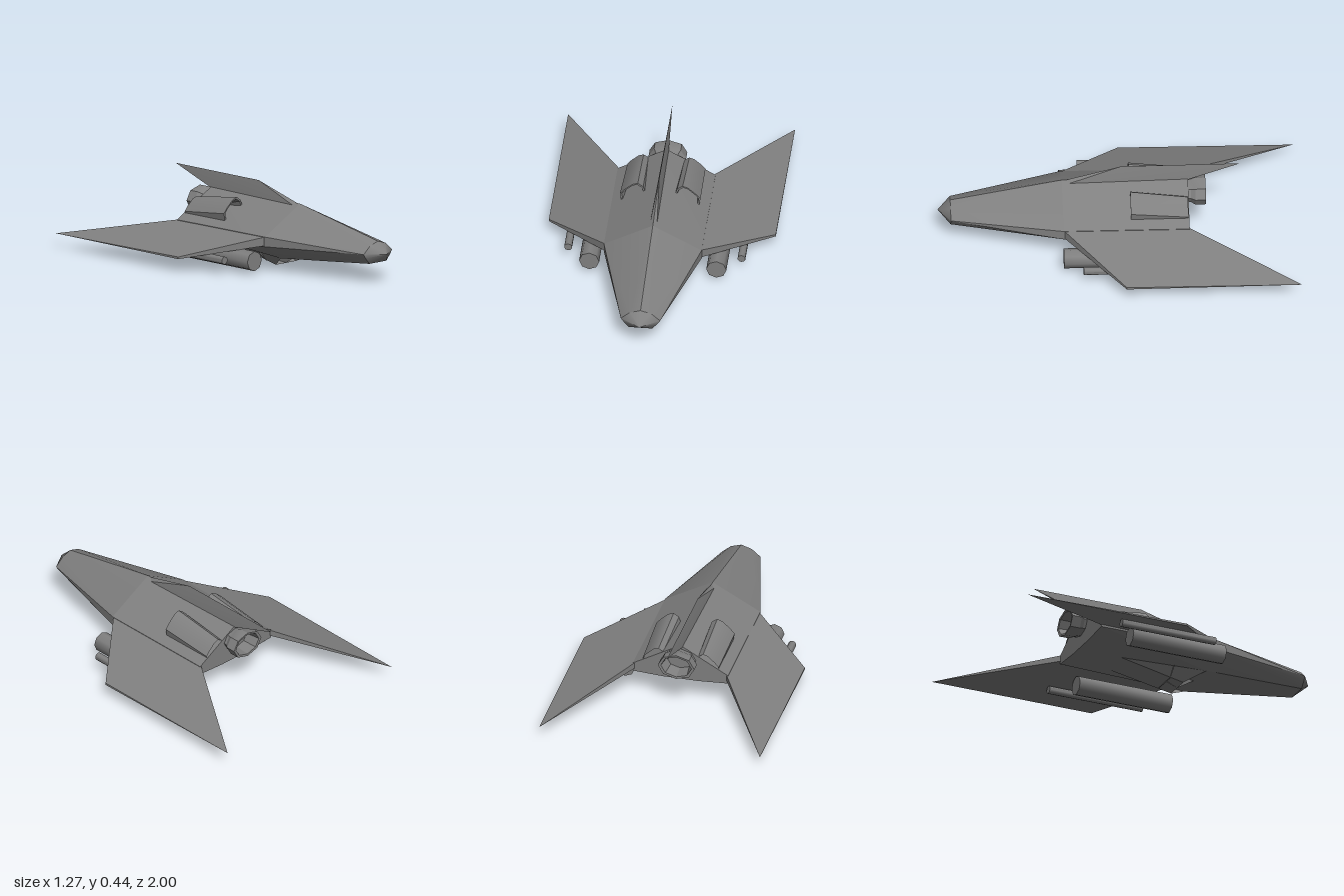
import * as THREE from 'three';
import { ConvexGeometry } from 'three/addons/geometries/ConvexGeometry.js';
import { toCreasedNormals } from 'three/addons/utils/BufferGeometryUtils.js';

const solidMat = new THREE.MeshStandardMaterial({ color: 0x808080 });
const shellMat = new THREE.MeshStandardMaterial({ color: 0x808080, side: THREE.DoubleSide });

export function createModel() {
  const model = new THREE.Group();
  const craft = new THREE.Group();
  craft.name = 'craft';
  craft.position.x = -0.018; // the two wings differ a little in span
  model.add(craft);

  function add(name, geometry, material = solidMat) {
    const mesh = new THREE.Mesh(geometry, material);
    mesh.name = name;
    craft.add(mesh);
    return mesh;
  }

  // Convex solid through corner points, smooth below the crease angle
  const solid = (name, pts, crease = 0.45) => add(name,
    toCreasedNormals(new ConvexGeometry(pts.map(p => new THREE.Vector3(...p))), crease));

  // Half section [x, y] at depth z, mirrored to both sides
  const section = (z, half) => half.flatMap(([x, y]) => (x ? [[x, y, z], [-x, y, z]] : [[x, y, z]]));

  // Open skin between rows of points
  function skin(name, rows) {
    const n = rows[0].length, idx = [];
    for (let i = 0; i < rows.length - 1; i++) {
      for (let j = 0; j < n - 1; j++) {
        const a = i * n + j, b = a + 1, c = a + n, d = b + n;
        idx.push(a, c, b, b, c, d);
      }
    }
    const g = new THREE.BufferGeometry();
    g.setAttribute('position', new THREE.Float32BufferAttribute(rows.flat(2), 3));
    g.setIndex(idx);
    return add(name, toCreasedNormals(g, 0.6), shellMat);
  }

  // Fuselage: nose, forward hull, rear hull with an upswept underside
  const nose = section(0.93, [[0, 0.235], [0.06, 0.216], [0.11, 0.173], [0.095, 0.15], [0.065, 0.115]]);
  const middle = section(0.31, [[0, 0.355], [0.273, 0.205], [0.273, 0.15], [0.15, 0.067]]);
  const belly = section(-0.18, [[0, 0.355], [0.273, 0.202], [0.273, 0.15], [0.1, 0.085]]);
  const tail = section(-0.39, [[0, 0.355], [0.273, 0.2], [0.273, 0.15], [0.1, 0.14]]);
  solid('noseTip', [...nose, [0, 0.17, 1]], 0.9);
  solid('forwardHull', [...nose, ...middle]);
  solid('rearHull', [...middle, ...belly, ...tail], 0.2);

  // Belly intake: raked open mouth tapering back into the hull
  skin('bellyIntake', [
    [[0.15, 0.067, 0.31], [0.08, 0.004, 0.2], [-0.08, 0.004, 0.2], [-0.15, 0.067, 0.31]],
    [[0.1, 0.087, -0.18], [0.08, 0.083, -0.18], [-0.08, 0.083, -0.18], [-0.1, 0.087, -0.18]],
  ]);
  skin('intakeBackWall', [
    [[0.135, 0.072, 0.12], [-0.135, 0.072, 0.12]],
    [[0.078, 0.016, 0.12], [-0.078, 0.016, 0.12]],
  ]);
  solid('intakeDivider', [
    [0, 0.067, 0.3], [0, 0.004, 0.2],
    ...section(0.12, [[0.025, 0.07], [0.025, 0.018]]),
  ]);

  // Dorsal fin with a sharp top edge
  solid('fin', [
    ...section(0.28, [[0.02, 0.34]]), ...section(-0.39, [[0.012, 0.345]]),
    [0, 0.357, 0.28], [0, 0.44, -0.02], [0, 0.44, -0.68],
  ]);

  for (const s of [1, -1]) {
    const side = s > 0 ? 'left' : 'right';
    const tip = s > 0 ? 0.65 : 0.617;

    // Drooped, swept wing
    solid(side + 'Wing', [
      [0.265, 0.205, 0.31], [0.265, 0.155, 0.31],
      [0.265, 0.2, -0.39], [0.265, 0.165, -0.39],
      [tip, 0.092, -0.025], [tip, 0.08, -0.025], [tip, 0.082, -1],
    ].map(([x, y, z]) => [s * x, y, z]), 0.3);

    // Arched air scoop on the sloping back, sinking towards the tail
    const arch = [[0.083, 0.3], [0.095, 0.335], [0.125, 0.355], [0.155, 0.345],
      [0.2, 0.305], [0.225, 0.275], [0.218, 0.235]];
    const cx = 0.153, cy = 0.28;
    const ring = (k, z, drop = 0) => arch.map(([x, y]) =>
      [s * (cx + (x - cx) * k), cy + (y - cy) * k - drop, z]);
    skin(side + 'Scoop', [
      ring(0.4, -0.3, 0.04), ring(0.82, -0.08), ring(0.86, -0.065), ring(1, -0.065),
      ring(0.9, -0.385, 0.035),
    ]);

    // Underwing pods
    for (const [name, x, y, r, z0, z1] of [
      ['Pod', 0.355, 0.08, 0.056, 0.313, -0.255],
      ['Barrel', 0.484, 0.087, 0.022, 0.208, -0.365],
    ]) {
      const g = new THREE.CylinderGeometry(r, r, z0 - z1, name === 'Pod' ? 8 : 10);
      g.rotateX(Math.PI / 2);
      add(side + name, toCreasedNormals(g, 0.9), shellMat).position.set(s * x, y, (z0 + z1) / 2);
    }
  }

  // Hollow flattened engine nozzle
  const profile = [[0, 0.01], [0.075, 0.01], [0.088, 0.095], [0.105, 0.097], [0.105, 0.04],
    [0.088, 0.015], [0.088, -0.02]].map(p => new THREE.Vector2(...p));
  const nozzle = new THREE.LatheGeometry(profile, 8);
  nozzle.rotateX(-Math.PI / 2);
  nozzle.scale(1, 0.72, 1);
  add('nozzle', toCreasedNormals(nozzle, 0.5), shellMat).position.set(0, 0.27, -0.39);

  return model;
}
